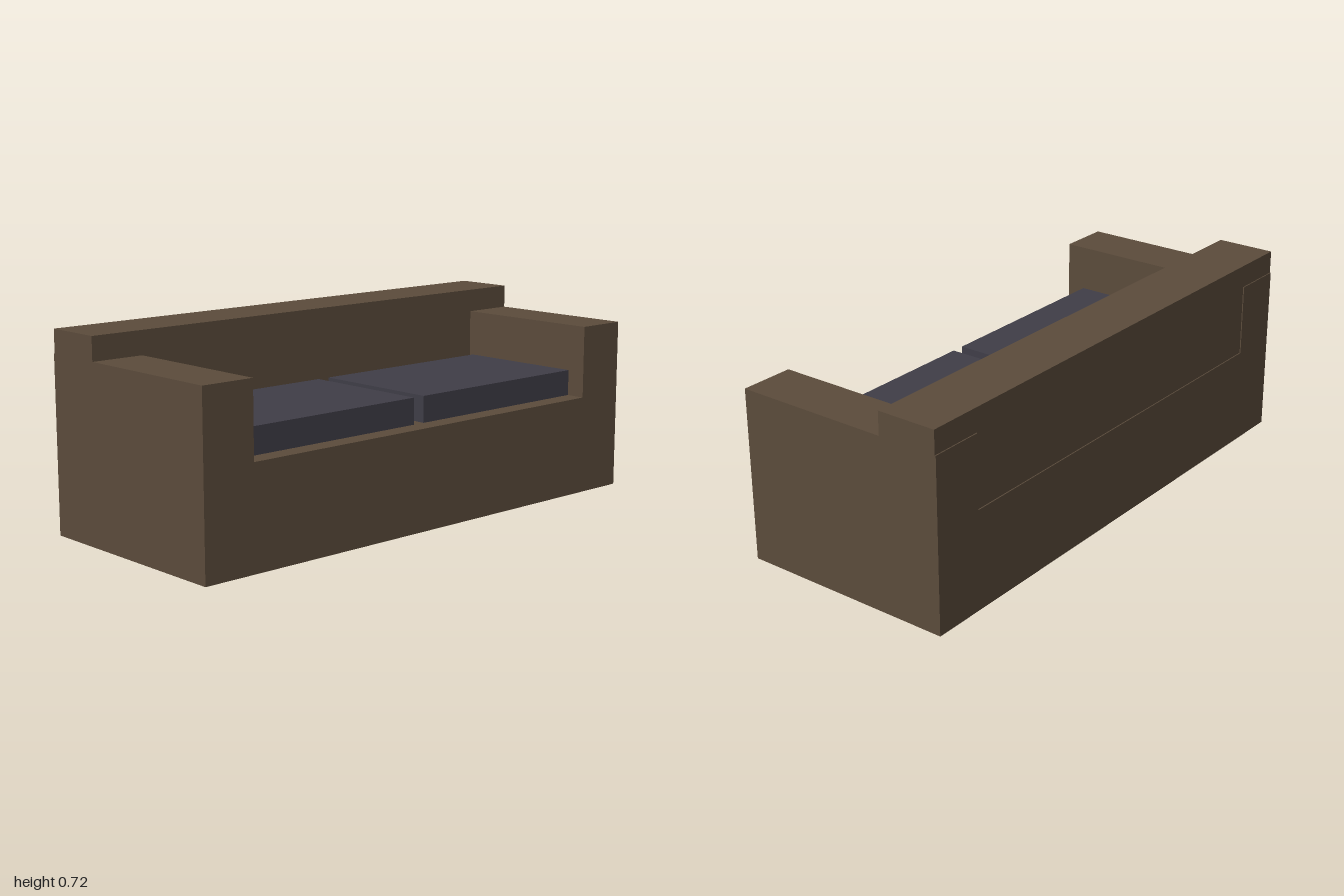
import * as THREE from 'three';

const BROWN = new THREE.MeshStandardMaterial({ color: 0x5c4c3c, flatShading: true });
const SLATE = new THREE.MeshStandardMaterial({ color: 0x403e48, flatShading: true });

const SEAT_Y = 0.367, ARM_Y = 0.636, BACK_Y = 0.722, ARM_X = 0.8;

// Extrudes an outline symmetric in x, given by its right half, from z0 to z1
function slab(name, half, z0, z1) {
  const left = half.map(([x, y]) => [-x, y]).reverse();
  const shape = new THREE.Shape([...half, ...left].map(([x, y]) => new THREE.Vector2(x, y)));
  const geometry = new THREE.ExtrudeGeometry(shape, { depth: z1 - z0, bevelEnabled: false });
  geometry.translate(0, 0, z0);
  const mesh = new THREE.Mesh(geometry, BROWN);
  mesh.name = name;
  return mesh;
}

export function createModel() {
  const sofa = new THREE.Group();
  sofa.name = 'sofa';

  // Base and both arms as one U-shaped block
  sofa.add(slab('baseAndArms',
    [[1, 0], [1, ARM_Y], [ARM_X, ARM_Y], [ARM_X, SEAT_Y]], -0.408, 0.408));

  // Backrest: fits between the arms and spreads over them, set in slightly at the rear
  sofa.add(slab('backrest',
    [[ARM_X, SEAT_Y], [ARM_X, ARM_Y], [1, ARM_Y], [1, BACK_Y]], -0.404, -0.179));

  // Pair of seat cushions
  const width = ARM_X - 0.024, height = 0.096, depth = 0.498;
  for (const [side, name] of [[1, 'leftCushion'], [-1, 'rightCushion']]) {
    const cushion = new THREE.Mesh(new THREE.BoxGeometry(width, height, depth), SLATE);
    cushion.position.set(side * (ARM_X - width / 2), SEAT_Y + height / 2, 0.087);
    cushion.name = name;
    sofa.add(cushion);
  }
  return sofa;
}
